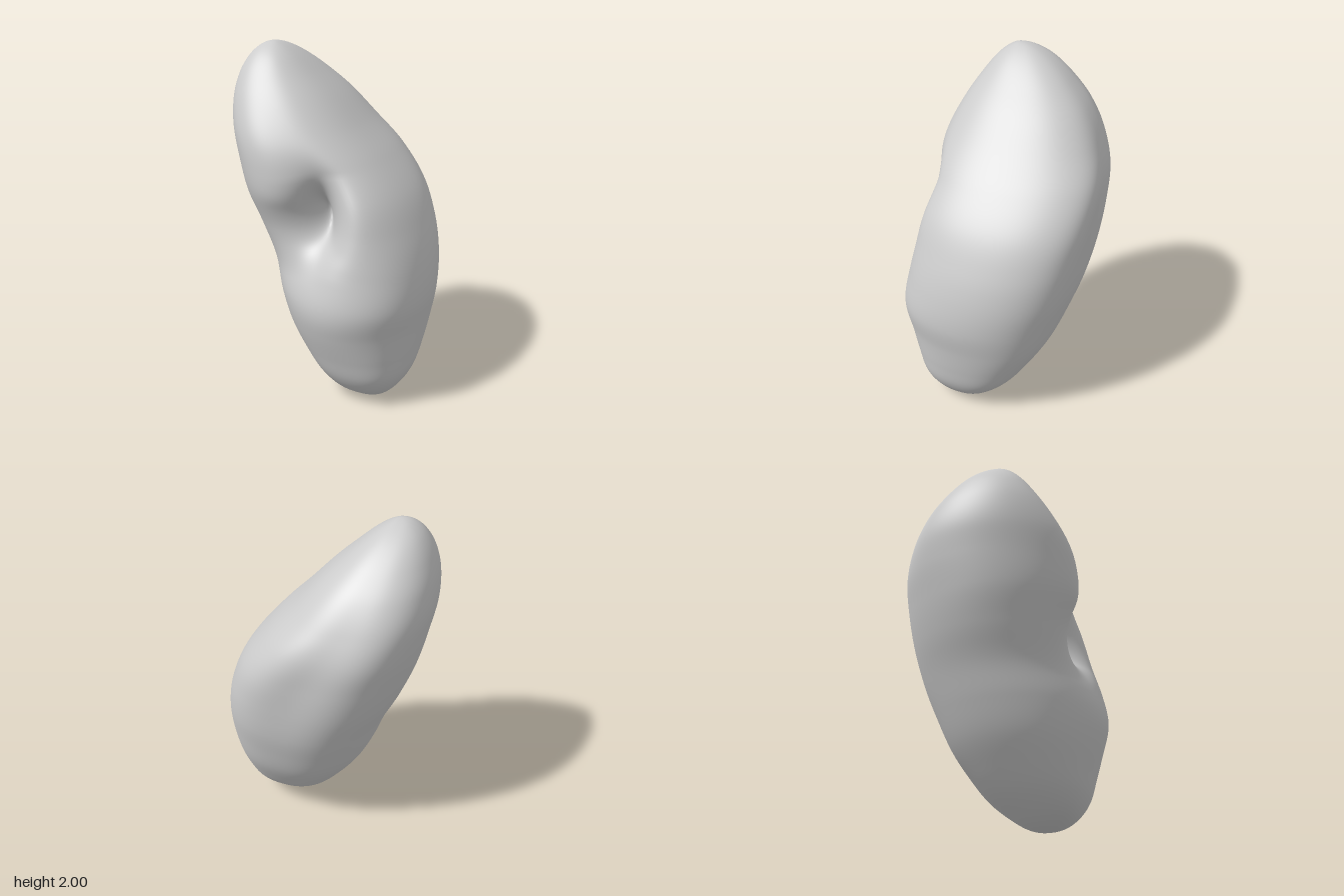
import * as THREE from 'three';
import { mergeVertices } from 'three/addons/utils/BufferGeometryUtils.js';

// Extents of the leaning bean, evenly spaced from pole to pole: xMin, xMax, zMin, zMax
const LEVELS = [
  [0.13, 0.13, 0.3, 0.3],
  [0.02, 0.23, 0.19, 0.4],
  [-0.09, 0.32, 0.08, 0.48],
  [-0.18, 0.4, -0.05, 0.54],
  [-0.25, 0.46, -0.16, 0.565],
  [-0.315, 0.515, -0.27, 0.585],
  [-0.36, 0.555, -0.36, 0.615],
  [-0.385, 0.58, -0.445, 0.59],
  [-0.45, 0.575, -0.525, 0.545],
  [-0.525, 0.535, -0.585, 0.49],
  [-0.56, 0.435, -0.625, 0.38],
  [-0.58, 0.285, -0.615, 0.255],
  [-0.57, 0.145, -0.56, 0.14],
  [-0.53, 0, -0.475, 0.03],
  [-0.47, -0.13, -0.385, -0.06],
  [-0.4, -0.24, -0.29, -0.14],
  [-0.33, -0.33, -0.2, -0.2],
];

// Soft swellings and flats: angle, height, angular width, vertical width, amount
const SWELLINGS = [
  [2.65, 1.5, 0.45, 0.22, 0.06],  // upper lobe behind the notch
  [2.3, 0.52, 0.6, 0.24, 0.09],   // lower lobe under the notch
  [3.93, 1.0, 0.55, 0.8, 0.09],   // full back
  [0.75, 0.7, 0.5, 0.4, 0.03],    // full front
  [5.5, 1.25, 0.5, 0.45, -0.07],  // flatter outer shoulder
];

const RINGS = 160;
const SIDES = 140;
const gauss = (d, s) => Math.exp(-(d * d) / (s * s));
const turn = (a, b) => Math.atan2(Math.sin(a - b), Math.cos(a - b));

// Smooth closed body lofted through the levels, with a slanting notch in one side
function bodyGeometry() {
  const curve = (x, z) => new THREE.CatmullRomCurve3(
    LEVELS.map((l) => new THREE.Vector3(l[x], 0, l[z])), false, 'catmullrom', 0.5);
  const low = curve(0, 2);
  const high = curve(1, 3);
  const positions = [];
  const indices = [];
  const notchY = 1.1;

  for (let i = 0; i <= RINGS; i++) {
    const s = i / RINGS;
    const y = 1 - Math.cos(s * Math.PI);
    const p = low.getPoint(s);
    const q = high.getPoint(s);
    const cx = (p.x + q.x) / 2, cz = (p.z + q.z) / 2;
    const a = (q.x - p.x) / 2, b = (q.z - p.z) / 2;
    const dy = y - notchY;
    const notchAngle = 2.2 - THREE.MathUtils.clamp(dy, -0.35, 0.25);
    // The section turns more oblique towards the upper lobe
    const skew = -0.08 - 0.15 * THREE.MathUtils.smoothstep(y, 0.9, 1.5);

    for (let j = 0; j < SIDES; j++) {
      const t = (j / SIDES) * Math.PI * 2;
      const dt = turn(t, notchAngle);
      // Wide hollow with a narrower, deeper pocket inside it
      const wide = gauss(dt, dt < 0 ? 0.3 : 0.44) * gauss(dy, dy > 0 ? 0.23 : 0.26);
      const deep = gauss(dt, 0.22) * gauss(dy, 0.15);
      let r = 1 - 0.03 * (1 - Math.cos(4 * t)) - 0.4 * wide - 0.14 * deep;
      for (const [angle, h, wa, wy, amount] of SWELLINGS) {
        r += amount * gauss(turn(t, angle), wa) * gauss(y - h, wy);
      }
      // Upper lobe drawn down and lower lip drawn up around the notch
      const lips = 0.05 * gauss(turn(t, 2.3), 0.45) * gauss(y - 0.8, 0.14)
        - 0.05 * gauss(turn(t, 2.55), 0.45) * gauss(y - 1.3, 0.14);
      positions.push(
        cx + a * r * Math.cos(t),
        y + lips,
        cz + b * r * Math.sin(t + skew));
      if (i < RINGS) {
        const A = i * SIDES + j, B = i * SIDES + ((j + 1) % SIDES);
        const C = A + SIDES, D = B + SIDES;
        if (i > 0) indices.push(A, C, B);
        if (i < RINGS - 1) indices.push(B, C, D);
      }
    }
  }

  const raw = new THREE.BufferGeometry();
  raw.setAttribute('position', new THREE.Float32BufferAttribute(positions, 3));
  raw.setIndex(indices);
  const geometry = mergeVertices(raw, 1e-5);
  geometry.computeVertexNormals();
  return geometry;
}

export function createModel() {
  const group = new THREE.Group();
  group.name = 'kidney';
  const grey = new THREE.MeshStandardMaterial({ color: 0xcccccc });
  grey.name = 'light grey';
  const body = new THREE.Mesh(bodyGeometry(), grey);
  body.name = 'kidneyBody';
  group.add(body);
  return group;
}
